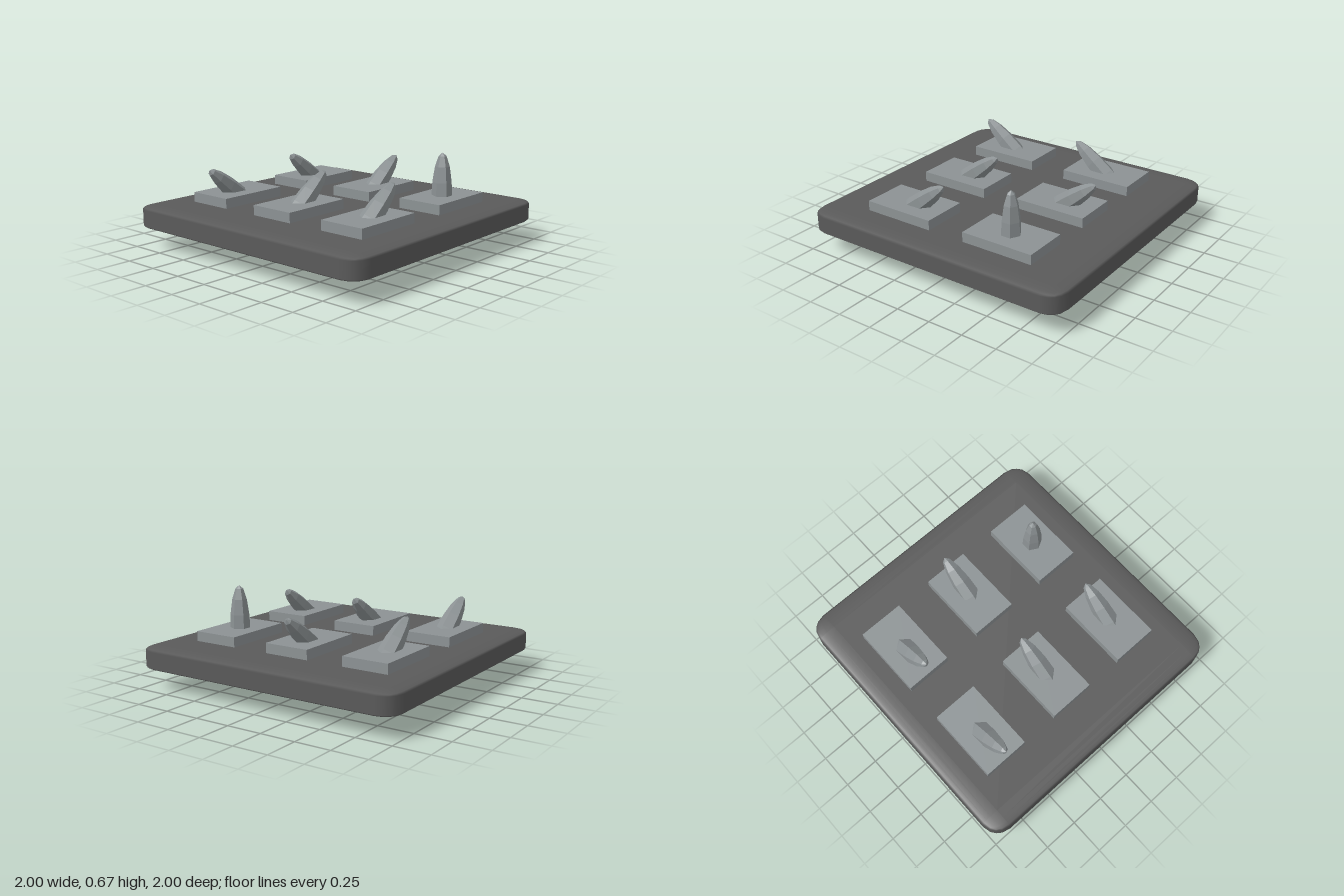
import * as THREE from 'three';
import { RoundedBoxGeometry } from 'three/addons/geometries/RoundedBoxGeometry.js';

const darkPlastic = new THREE.MeshStandardMaterial({ color: 0x5a5a5a });
darkPlastic.name = 'darkPlastic';
const greyMetal = new THREE.MeshStandardMaterial({ color: 0x8c9294 });
greyMetal.name = 'greyMetal';
greyMetal.flatShading = true;

const PIVOT_Y = 0.336;
const TILT = THREE.MathUtils.degToRad(51);

// Six-sided spindle lever with ridges facing front and back
function leverGeometry() {
  const g = new THREE.SphereGeometry(1, 6, 8);
  g.rotateY(Math.PI / 2);
  g.scale(0.073, 0.334, 0.07);
  return g;
}

// Wide plate with rounded corners and a shallow rim bevel
function plateGeometry() {
  const squash = 0.19;
  const g = new RoundedBoxGeometry(2, 0.163 / squash, 2, 2, 0.13);
  g.scale(1, squash, 1);
  return g;
}

export function createModel() {
  const panel = new THREE.Group();
  panel.name = 'switchPanel';

  const plate = new THREE.Mesh(plateGeometry(), darkPlastic);
  plate.name = 'basePlate';
  plate.position.y = 0.2195;
  panel.add(plate);

  const lever = leverGeometry();
  const mount = new THREE.BoxGeometry(0.33, 0.17, 0.525);

  // Tilt: 1 leans forward, -1 leans back, 0 stands upright
  const switches = [
    { x: -0.6, z: 0.4, tilt: 1 },
    { x: -0.6, z: -0.4, tilt: 1 },
    { x: 0, z: 0.4, tilt: -1 },
    { x: 0, z: -0.4, tilt: -1 },
    { x: 0.6, z: 0.4, tilt: -1 },
    { x: 0.6, z: -0.4, tilt: 0 },
  ];

  for (const { x, z, tilt } of switches) {
    const unit = new THREE.Group();
    unit.name = 'toggleSwitch';
    unit.position.set(x, 0, z);

    const block = new THREE.Mesh(mount, greyMetal);
    block.name = 'switchMount';
    block.position.y = 0.285;

    const handle = new THREE.Mesh(lever, greyMetal);
    handle.name = 'switchLever';
    handle.position.y = PIVOT_Y;
    handle.rotation.x = tilt * TILT;

    unit.add(block, handle);
    panel.add(unit);
  }
  return panel;
}
